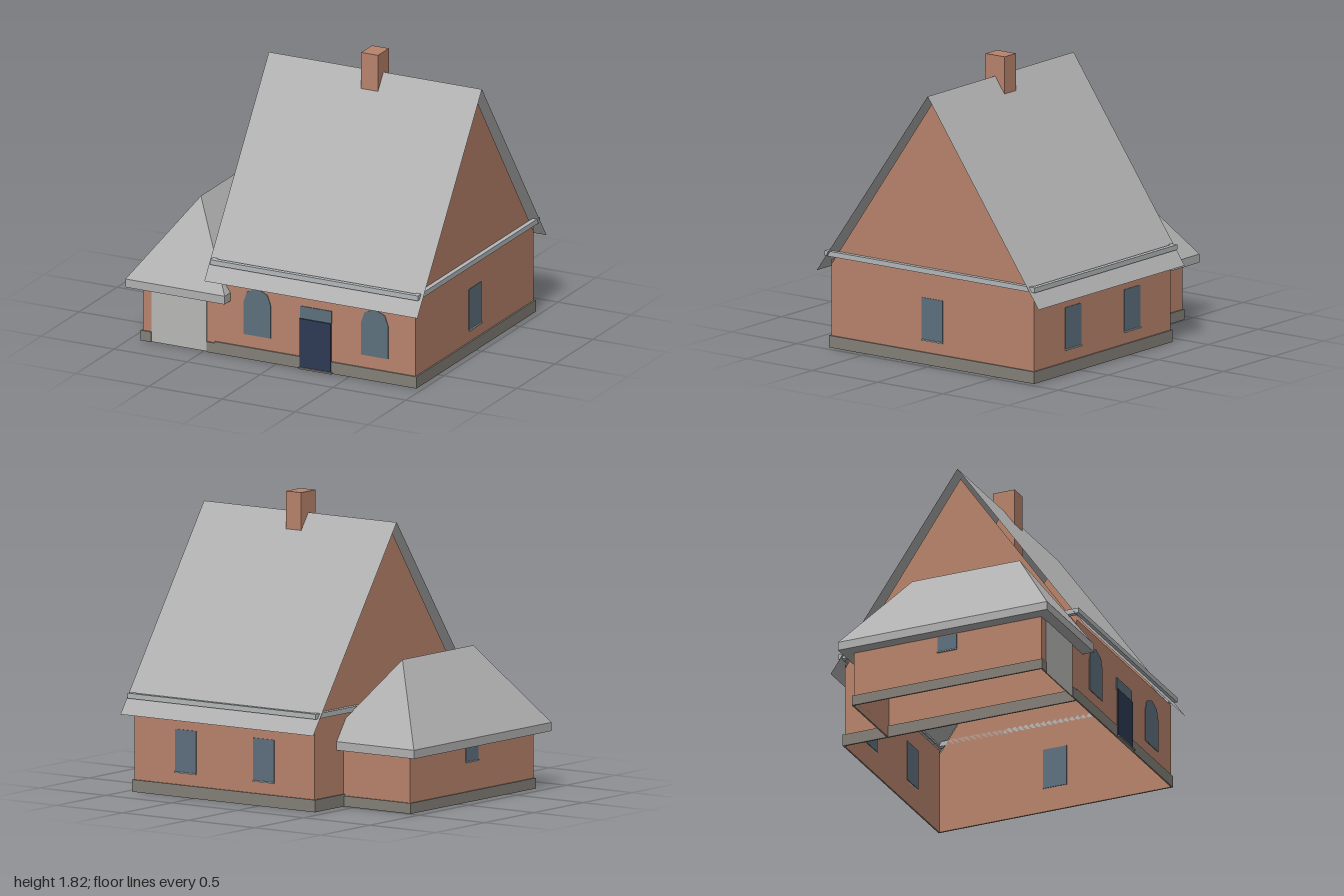
import * as THREE from 'three';

const mat = (name, color, side = THREE.FrontSide) => {
  const m = new THREE.MeshStandardMaterial({ color, side });
  m.name = name;
  return m;
};

export function createModel() {
  const house = new THREE.Group();
  house.name = 'house';

  const brick = mat('brick', 0xb8836c, THREE.DoubleSide);
  const slate = mat('roofGrey', 0xb2b1b2, THREE.DoubleSide);
  const trim = mat('trimGrey', 0xb4b8ba);
  const stone = mat('plinthStone', 0x848078);
  const glass = mat('windowBlue', 0x5d707e);
  const navy = mat('doorNavy', 0x2d3a54);
  const panel = mat('garageGrey', 0xb8b9b7);

  // Main body and annex extents
  const L = -0.415, R = 0.95, Z = 0.775;
  const AL = -0.92, AB = -0.48;

  const add = (name, geo, material, parent = house) => {
    const mesh = new THREE.Mesh(geo, material);
    mesh.name = name;
    parent.add(mesh);
    return mesh;
  };
  // Box given by its minimum and maximum corners
  const box = (name, a, b, material) => {
    const g = new THREE.BoxGeometry(b[0] - a[0], b[1] - a[1], b[2] - a[2]);
    g.translate((a[0] + b[0]) / 2, (a[1] + b[1]) / 2, (a[2] + b[2]) / 2);
    return add(name, g, material);
  };
  // Flat faces, each a convex polygon of corner points
  const faces = (name, polys, material) => {
    const p = [];
    for (const f of polys)
      for (let i = 1; i < f.length - 1; i++) p.push(...f[0], ...f[i], ...f[i + 1]);
    const g = new THREE.BufferGeometry();
    g.setAttribute('position', new THREE.Float32BufferAttribute(p, 3));
    g.computeVertexNormals();
    return add(name, g, material);
  };
  // Rectangular ring around the main walls
  const ring = (name, out, y0, y1, material) => {
    const rect = (C, o) => new C([
      [L - o, -Z - o], [R + o, -Z - o], [R + o, Z + o], [L - o, Z + o],
    ].map(([x, y]) => new THREE.Vector2(x, y)));
    const s = rect(THREE.Shape, out);
    s.holes.push(rect(THREE.Path, 0));
    const g = new THREE.ExtrudeGeometry(s, { depth: y1 - y0, bevelEnabled: false });
    g.rotateX(-Math.PI / 2).translate(0, y0, 0);
    return add(name, g, material);
  };

  // Main walls with pointed gables
  const wallTop = 0.55;
  faces('frontWall', [[[L, 0, Z], [R, 0, Z], [R, wallTop, Z], [L, wallTop, Z]]], brick);
  faces('backWall', [[[R, 0, -Z], [L, 0, -Z], [L, wallTop, -Z], [R, wallTop, -Z]]], brick);
  const gable = [[0, Z], [0, -Z], [0.52, -Z], [1.64, 0], [0.52, Z]];
  faces('leftGable', [gable.map(([y, z]) => [R, y, z])], brick);
  faces('rightGable', [gable.map(([y, z]) => [L, y, z]).reverse()], brick);
  ring('plinth', 0.01, 0, 0.075, stone);
  ring('gutterBand', 0.03, 0.575, 0.607, trim);

  // Main roof: two thin slopes
  faces('mainRoof', [
    [[-0.46, 0.48, 0.85], [1, 0.48, 0.85], [1, 1.69, 0], [-0.46, 1.69, 0]],
    [[1, 0.48, -0.85], [-0.46, 0.48, -0.85], [-0.46, 1.69, 0], [1, 1.69, 0]],
  ], slate);
  box('chimney', [0.21, 0.48, -0.072], [0.325, 1.82, 0.072], brick);

  // Annex walls and plinth
  faces('annexWalls', [
    [[AL, 0, Z], [L, 0, Z], [L, 0.36, Z], [AL, 0.36, Z]],
    [[AL, 0, AB], [AL, 0, Z], [AL, 0.36, Z], [AL, 0.36, AB]],
    [[L, 0, AB], [AL, 0, AB], [AL, 0.36, AB], [L, 0.36, AB]],
  ], brick);
  box('annexPlinthSide', [AL - 0.01, 0, AB - 0.01], [AL, 0.065, Z + 0.01], stone);
  box('annexPlinthBack', [AL, 0, AB - 0.01], [L, 0.065, AB], stone);
  box('annexPlinthFrontOuter', [AL, 0, Z], [-0.86, 0.065, Z + 0.01], stone);
  box('annexPlinthFrontInner', [-0.48, 0, Z], [L - 0.01, 0.065, Z + 0.01], stone);
  box('garageDoor', [-0.86, 0.003, Z - 0.004], [-0.48, 0.355, Z + 0.004], panel);

  // Hipped annex roof on a shallow eave box
  const x0 = -1, x1 = -0.32, z0 = -0.55, z1 = 0.85, e = 0.405;
  box('annexEaves', [x0, 0.352, z0], [x1, e, z1], slate);
  const A = [x0, e, z1], B = [x1, e, z1], C = [x1, e, z0], D = [x0, e, z0];
  const F = [-0.66, 0.89, 0.51], K = [-0.66, 0.89, -0.21];
  faces('annexRoof', [[A, B, F], [B, C, K, F], [C, D, K], [D, A, F, K]], slate);

  // Arched front windows
  const arch = new THREE.Shape([
    [-0.093, 0.155], [0.093, 0.155], [0.093, 0.365], [0.07, 0.43],
    [0, 0.462], [-0.07, 0.43], [-0.093, 0.365],
  ].map(([x, y]) => new THREE.Vector2(x, y)));
  for (const x of [-0.135, 0.67]) {
    const g = new THREE.ExtrudeGeometry(arch, { depth: 0.008, bevelEnabled: false });
    g.translate(x, 0, Z - 0.004);
    add('archedWindow', g, glass);
  }

  // Front door, light above it and step
  box('frontDoor', [0.16, 0.01, Z + 0.006], [0.375, 0.322, Z + 0.015], navy);
  box('doorLight', [0.16, 0.322, Z], [0.375, 0.4, Z + 0.006], glass);
  box('doorStep', [0.16, 0, Z], [0.385, 0.01, Z + 0.025], stone);

  // Back windows with sills
  for (const x of [0.56, -0.03]) {
    box('backWindow', [x - 0.08, 0.155, -Z - 0.004], [x + 0.08, 0.415, -Z + 0.004], glass);
    box('backSill', [x - 0.08, 0.147, -Z - 0.012], [x + 0.08, 0.155, -Z], trim);
  }

  // Gable window with sill, and the small annex window
  box('gableWindow', [R - 0.004, 0.155, -0.08], [R + 0.004, 0.415, 0.08], glass);
  box('gableSill', [R, 0.147, -0.08], [R + 0.012, 0.155, 0.08], trim);
  box('annexWindow', [AL - 0.004, 0.25, 0.08], [AL + 0.004, 0.345, 0.21], glass);
  box('annexSill', [AL - 0.012, 0.242, 0.08], [AL, 0.25, 0.21], trim);

  return house;
}
